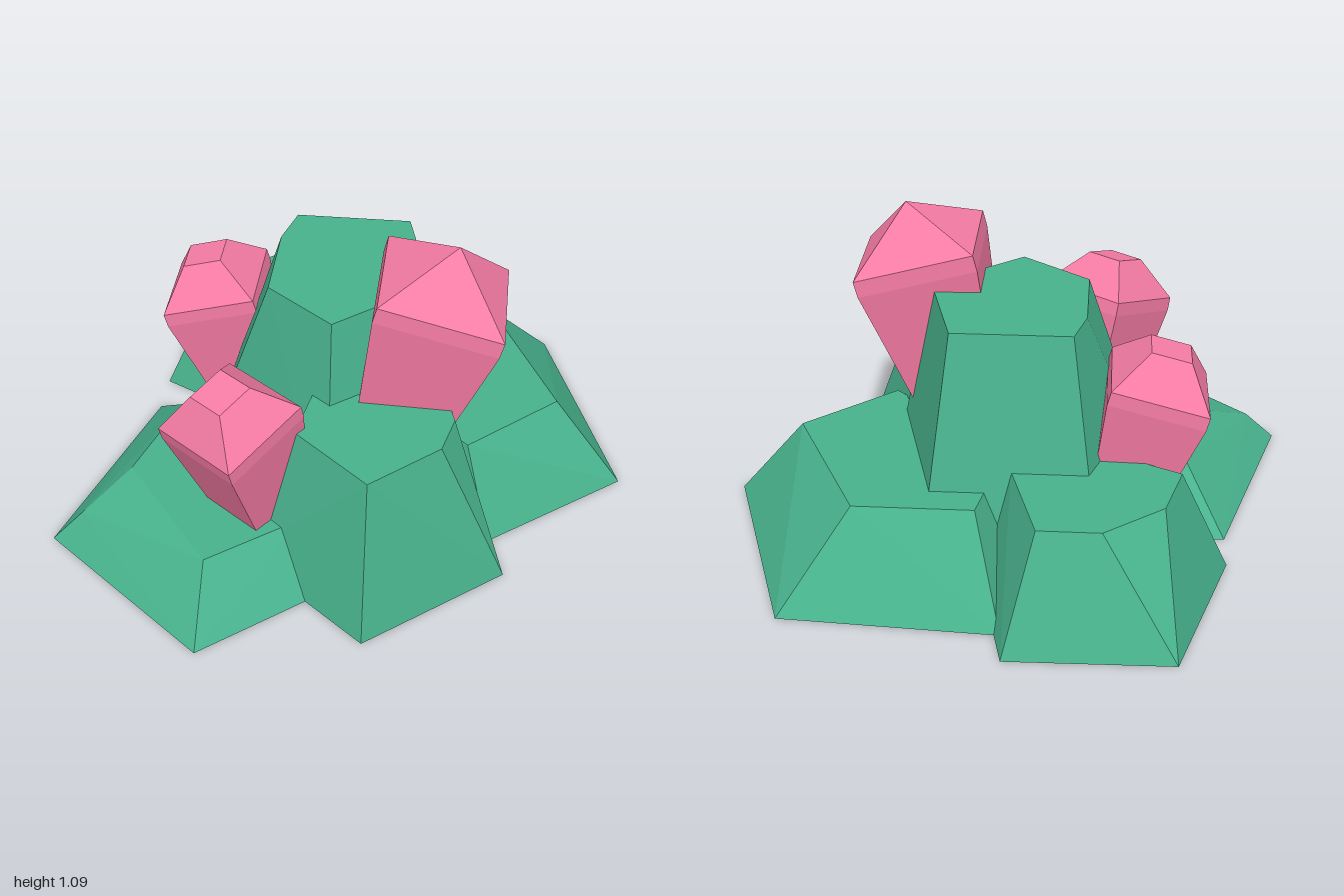
import * as THREE from 'three';
import { ConvexGeometry } from 'three/addons/geometries/ConvexGeometry.js';

const green = new THREE.MeshStandardMaterial({ color: 0x48b28d, flatShading: true, side: THREE.DoubleSide });
const pink = new THREE.MeshStandardMaterial({ color: 0xf67ca5, flatShading: true });

// Boulders: each corner is [foot x, foot z, top x, top z, optional own top height],
// listed front, right, back, left. Corners sharing a foot make a triangular facet.
const rocks = [
  ['centreRock', 0.84, [
    [-0.03, 0.48, -0.03, 0.28], [0.45, 0.1, 0.28, 0.02], [0.28, -0.57, 0.18, -0.38],
    [-0.34, -0.57, -0.23, -0.38], [-0.34, -0.57, -0.27, -0.23], [-0.56, 0.05, -0.27, 0.09],
  ]],
  ['frontRock', 0.55, [
    [0.135, 0.9, 0.135, 0.73], [0.59, 0.53, 0.36, 0.53], [0.59, 0.53, 0.395, 0.38],
    [0.4, -0.05, 0.3, 0.05], [-0.25, 0.1, -0.07, 0.15], [-0.33, 0.52, -0.13, 0.5],
  ]],
  ['rightRock', 0.31, [
    [0.53, 0.37, 0.44, 0.22], [1, 0, 0.75, -0.06], [0.72, -0.82, 0.49, -0.61],
    [-0.02, -0.865, 0.08, -0.61], [-0.15, -0.15, 0, -0.2],
  ]],
  ['backRock', 0.38, [
    [-0.2, -0.12, -0.2, -0.25], [0.09, -0.45, -0.03, -0.47], [-0.03, -1, -0.13, -0.83],
    [-0.59, -0.99, -0.34, -0.83], [-0.59, -0.99, -0.54, -0.67], [-0.77, -0.41, -0.6, -0.45],
  ]],
  ['leftRock', 0.2, [
    [-0.405, 1, -0.405, 0.77], [0.05, 0.63, -0.12, 0.55], [-0.2, -0.25, -0.25, -0.03],
    [-0.77, -0.25, -0.63, -0.03], [-1, 0.52, -0.74, 0.34], [-1, 0.52, -0.89, 0.49, 0.11],
  ]],
];

// Triangles of the convex hull around one boulder's corners
function hullFaces([, height, corners]) {
  const points = corners.flatMap(([fx, fz, tx, tz, ty = height]) =>
    [new THREE.Vector3(fx, 0, fz), new THREE.Vector3(tx, ty, tz)]);
  const p = new ConvexGeometry(points).getAttribute('position');
  const faces = [];
  for (let i = 0; i < p.count; i += 3) {
    faces.push([0, 1, 2].map(k => new THREE.Vector3().fromBufferAttribute(p, i + k)));
  }
  return faces;
}

// Cut a polygon by a plane into [outer part, inner part]
function split(poly, plane) {
  const dist = poly.map(v => plane.distanceToPoint(v));
  if (dist.every(d => d < 1e-5)) return [null, poly];
  if (dist.every(d => d > -1e-5)) return [poly, null];
  const outer = [], inner = [];
  poly.forEach((v, i) => {
    const j = (i + 1) % poly.length;
    if (dist[i] >= 0) outer.push(v);
    if (dist[i] <= 0) inner.push(v);
    if (dist[i] * dist[j] < 0) {
      const cut = v.clone().lerp(poly[j], dist[i] / (dist[i] - dist[j]));
      outer.push(cut);
      inner.push(cut);
    }
  });
  return [outer, inner];
}

// Parts of a polygon that lie outside a convex solid
function outside(poly, planes) {
  const kept = [];
  let rest = poly;
  for (const plane of planes) {
    const [outer, inner] = split(rest, plane);
    if (outer) kept.push(outer);
    if (!inner) return [poly];
    rest = inner;
  }
  return kept;
}

function flatMesh(name, pos, material) {
  const g = new THREE.BufferGeometry();
  g.setAttribute('position', new THREE.Float32BufferAttribute(pos, 3));
  g.computeVertexNormals();
  const mesh = new THREE.Mesh(g, material);
  mesh.name = name;
  return mesh;
}

// Open-bottomed boulders joined into one hollow shell, without walls inside each other
function rockShell() {
  const group = new THREE.Group();
  group.name = 'rocks';
  const hulls = rocks.map(hullFaces);
  const solids = hulls.map(faces => faces.map(f => new THREE.Plane().setFromCoplanarPoints(...f)));
  rocks.forEach(([name], r) => {
    let polys = hulls[r].filter(f => f.some(v => v.y > 0.001));
    solids.forEach((planes, s) => {
      if (s !== r) polys = polys.flatMap(p => outside(p, planes));
    });
    const pos = [];
    for (const p of polys) {
      for (let i = 1; i < p.length - 1; i++) {
        pos.push(...p[0].toArray(), ...p[i].toArray(), ...p[i + 1].toArray());
      }
    }
    group.add(flatMesh(name, pos, green));
  });
  return group;
}

// Square crystal built from [half width, height] rings, measured from its shoulder
function crystal(name, rings, centre, tilt, turn) {
  const pos = [];
  const signs = [[-1, 1], [1, 1], [1, -1], [-1, -1]];
  const at = ([w, y], k) => [signs[k % 4][0] * w, y, signs[k % 4][1] * w];
  for (let r = 0; r < rings.length - 1; r++) {
    for (let k = 0; k < 4; k++) {
      const a = at(rings[r], k), b = at(rings[r], k + 1);
      const c = at(rings[r + 1], k + 1), d = at(rings[r + 1], k);
      pos.push(...a, ...b, ...c);
      if (rings[r + 1][0] > 0) pos.push(...a, ...c, ...d);
    }
  }
  // end caps
  const lo = rings[0], hi = rings[rings.length - 1];
  pos.push(...at(lo, 0), ...at(lo, 2), ...at(lo, 1), ...at(lo, 0), ...at(lo, 3), ...at(lo, 2));
  if (hi[0] > 0) pos.push(...at(hi, 0), ...at(hi, 1), ...at(hi, 2), ...at(hi, 0), ...at(hi, 2), ...at(hi, 3));
  const mesh = flatMesh(name, pos, pink);
  mesh.position.set(...centre);
  mesh.rotation.set(0, turn, tilt, 'YXZ');
  return mesh;
}

export function createModel() {
  const model = new THREE.Group();
  model.name = 'crystalRocks';

  // Pointed crystal and two smaller blunt ones
  const blunt = [[0.095, -0.6], [0.17, -0.05], [0.17, 0], [0.07, 0.13]];
  model.add(
    rockShell(),
    crystal('largeCrystal', [[0.12, -0.76], [0.215, -0.06], [0.215, 0], [0, 0.172]], [0.335, 0.925, 0.155], -0.26, 0),
    crystal('backCrystal', blunt, [-0.52, 0.615, -0.245], 0.26, 0),
    crystal('frontCrystal', blunt, [-0.34, 0.615, 0.525], 0.26, 0.92),
  );
  return model;
}
